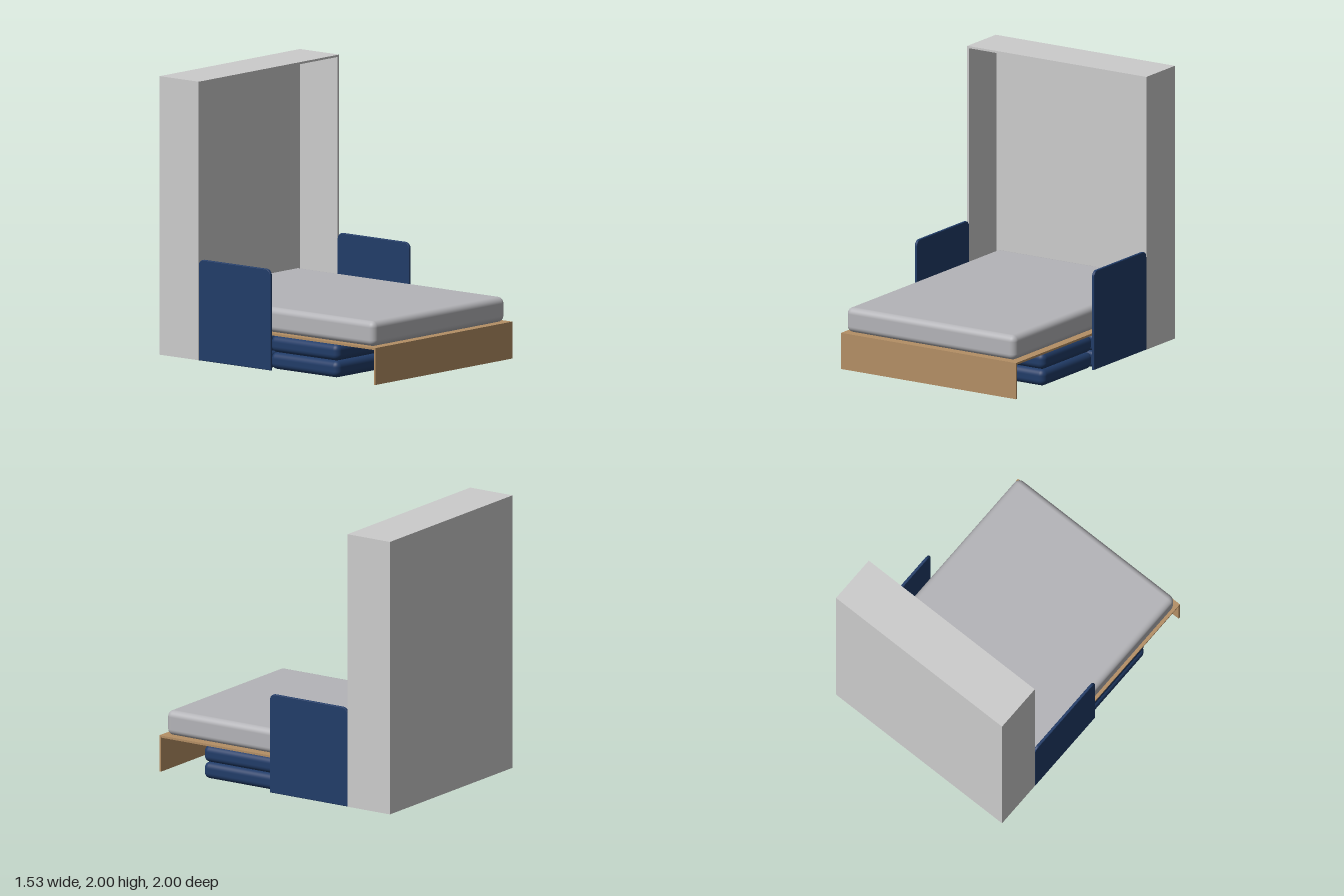
import * as THREE from 'three';
import { RoundedBoxGeometry } from 'three/addons/geometries/RoundedBoxGeometry.js';

const material = (name, color) => {
  const m = new THREE.MeshStandardMaterial({ color });
  m.name = name;
  return m;
};

export function createModel() {
  const cabinetGrey = material('cabinetGrey', 0xcccccc);
  const mattressGrey = material('mattressGrey', 0xb4b4b8);
  const wood = material('wood', 0xb48f65);
  const navy = material('navyFabric', 0x213c68);

  const model = new THREE.Group();
  model.name = 'foldDownBedWithSofa';

  const add = (name, geometry, mat, parent = model) => {
    const mesh = new THREE.Mesh(geometry, mat);
    mesh.name = name;
    parent.add(mesh);
    return mesh;
  };
  const group = (name) => {
    const g = new THREE.Group();
    g.name = name;
    model.add(g);
    return g;
  };
  // Boxes given by their extents [min, max] on each axis
  const place = (geometry, x, y, z) =>
    geometry.translate((x[0] + x[1]) / 2, (y[0] + y[1]) / 2, (z[0] + z[1]) / 2);
  const box = (x, y, z) =>
    place(new THREE.BoxGeometry(x[1] - x[0], y[1] - y[0], z[1] - z[0]), x, y, z);
  const softBox = (x, y, z, r) =>
    place(new RoundedBoxGeometry(x[1] - x[0], y[1] - y[0], z[1] - z[0], 5, r), x, y, z);

  // Wall cabinet, open at the front
  const W = 0.762, T = 0.015, back = -1, front = -0.635;
  const cabinet = group('cabinet');
  for (const [side, s] of [['left', 1], ['right', -1]]) {
    const xs = [s * W, s * (W - T)].sort((a, b) => a - b);
    add(side + 'CabinetSide', box(xs, [0, 2], [back, front]), cabinetGrey, cabinet);
  }
  const inner = [-W + T, W - T];
  add('cabinetTop', box(inner, [2 - T, 2], [back, front]), cabinetGrey, cabinet);
  add('cabinetFloor', box(inner, [0, T], [back, front]), cabinetGrey, cabinet);
  add('cabinetBack', box(inner, [T, 2 - T], [back, back + T]), cabinetGrey, cabinet);
  add('cabinetRail', box(inner, [1.975, 2 - T], [back + T, back + 2 * T]), cabinetGrey, cabinet);

  // Bed platform with the drop board that carries its foot end
  const bed = group('bed');
  add('bedPlatform', box([-0.745, 0.742], [0.25, 0.265], [-0.98, 0.985]), wood, bed);
  add('footBoard', box([-0.745, 0.742], [0, 0.265], [0.985, 1]), wood, bed);
  add('mattress', softBox([-0.73, 0.71], [0.265, 0.445], [-0.98, 0.968], 0.045), mattressGrey, bed);

  // Sofa cushions stacked below the platform, a front and a rear one per layer
  const sofa = group('sofa');
  for (const [layer, y] of [['lower', [0.004, 0.124]], ['upper', [0.125, 0.245]]]) {
    add(layer + 'FrontCushion', softBox([-0.735, 0.735], y, [0.0, 0.635], 0.045), navy, sofa);
    add(layer + 'RearCushion', softBox([-0.742, 0.742], y, [-0.633, 0.0], 0.03), navy, sofa);
  }

  // Arm panels with rounded upper corners
  const z0 = -0.635, z1 = 0.035, h = 0.725, r = 0.045;
  const outline = new THREE.Shape();
  outline.moveTo(z0, 0);
  outline.lineTo(z1, 0);
  outline.lineTo(z1, h - r);
  outline.absarc(z1 - r, h - r, r, 0, Math.PI / 2);
  outline.lineTo(z0 + r, h);
  outline.absarc(z0 + r, h - r, r, Math.PI / 2, Math.PI);
  outline.closePath();
  const bevel = 0.005, thick = 0.02;
  const arm = new THREE.ExtrudeGeometry(outline, {
    depth: thick - 2 * bevel, curveSegments: 8, bevelEnabled: true,
    bevelSize: bevel, bevelThickness: bevel, bevelOffset: -bevel, bevelSegments: 2,
  });
  arm.translate(0, 0, -(thick / 2 - bevel)).rotateY(-Math.PI / 2);
  add('leftArm', arm, navy, sofa).position.x = 0.754;
  add('rightArm', arm, navy, sofa).position.x = -0.754;

  return model;
}
